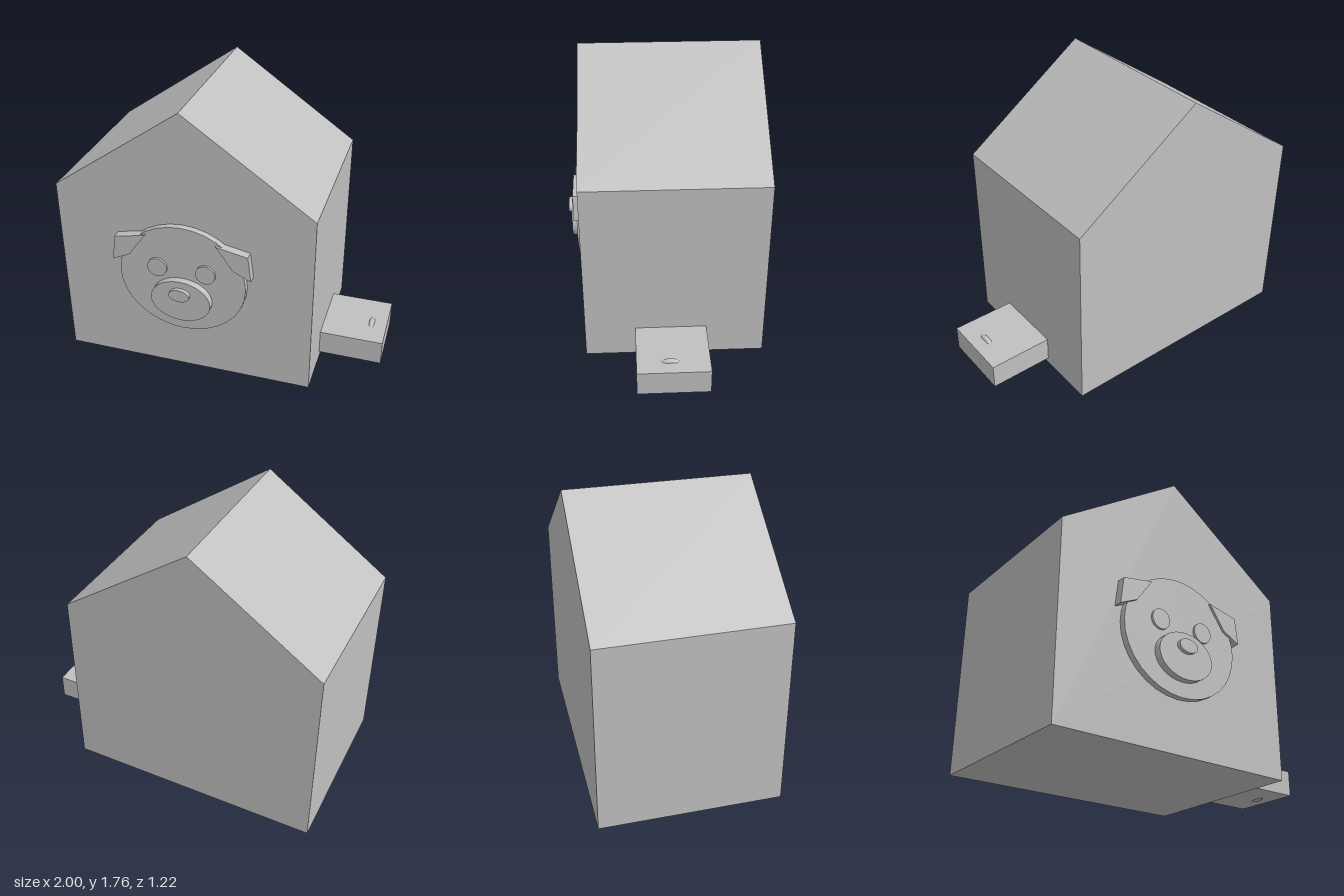
import * as THREE from 'three';

const grey = new THREE.MeshStandardMaterial({ color: 0xc0c0c0, flatShading: true });
const CENTRE_X = -0.2; // symmetry axis of the house and face
const FRONT_Z = 0.5;   // front wall
const BACK_Z = -0.61;

export function createModel() {
  const model = new THREE.Group();
  model.name = 'petHouse';

  const add = (parent, name, geometry) => {
    const mesh = new THREE.Mesh(geometry, grey);
    mesh.name = name;
    parent.add(mesh);
    return mesh;
  };

  // Outline extruded from z0 to z1
  const prism = (points, z0, z1) => {
    const shape = new THREE.Shape(points.map(([x, y]) => new THREE.Vector2(x, y)));
    return new THREE.ExtrudeGeometry(shape, { depth: z1 - z0, bevelEnabled: false }).translate(0, 0, z0);
  };

  // Oval plate facing forward, from z0 to z1
  const oval = (x, y, rx, ry, z0, z1, sides = 32) =>
    new THREE.CylinderGeometry(1, 1, z1 - z0, sides)
      .rotateX(Math.PI / 2)
      .scale(rx, ry, 1)
      .translate(x, y, (z0 + z1) / 2);

  // House body with gabled roof
  add(model, 'house', prism([[-1, 0], [0.6, 0], [0.6, 1.2], [CENTRE_X, 1.76], [-1, 1.2]], BACK_Z, FRONT_Z));

  // Animal face on the front wall
  const face = new THREE.Group();
  face.name = 'face';
  model.add(face);
  add(face, 'head', oval(CENTRE_X, 0.685, 0.4, 0.365, FRONT_Z, 0.54));
  add(face, 'snout', oval(CENTRE_X, 0.555, 0.19, 0.142, 0.53, 0.585));
  add(face, 'nose', oval(CENTRE_X, 0.61, 0.065, 0.042, 0.575, 0.61));

  // Eyes and folded ears, mirrored
  const ear = [[0.22, 0.97], [0.325, 0.82], [0.437, 0.765], [0.417, 0.93]];
  for (const [side, s] of [['left', 1], ['right', -1]]) {
    add(face, side + 'Eye', oval(CENTRE_X + s * 0.153, 0.755, 0.062, 0.062, 0.53, 0.555));
    add(face, side + 'Ear', prism(ear.map(([x, y]) => [CENTRE_X + s * x, y]), FRONT_Z, 0.555));
  }

  // Side tray with a ring set through it
  add(model, 'tray', new THREE.BoxGeometry(0.4, 0.16, 0.44)).position.set(0.8, 0.12, -0.03);
  const ring = add(model, 'ring', new THREE.TorusGeometry(0.077, 0.018, 12, 32));
  ring.rotation.y = Math.PI / 2;
  ring.position.set(0.902, 0.122, -0.01);

  return model;
}
